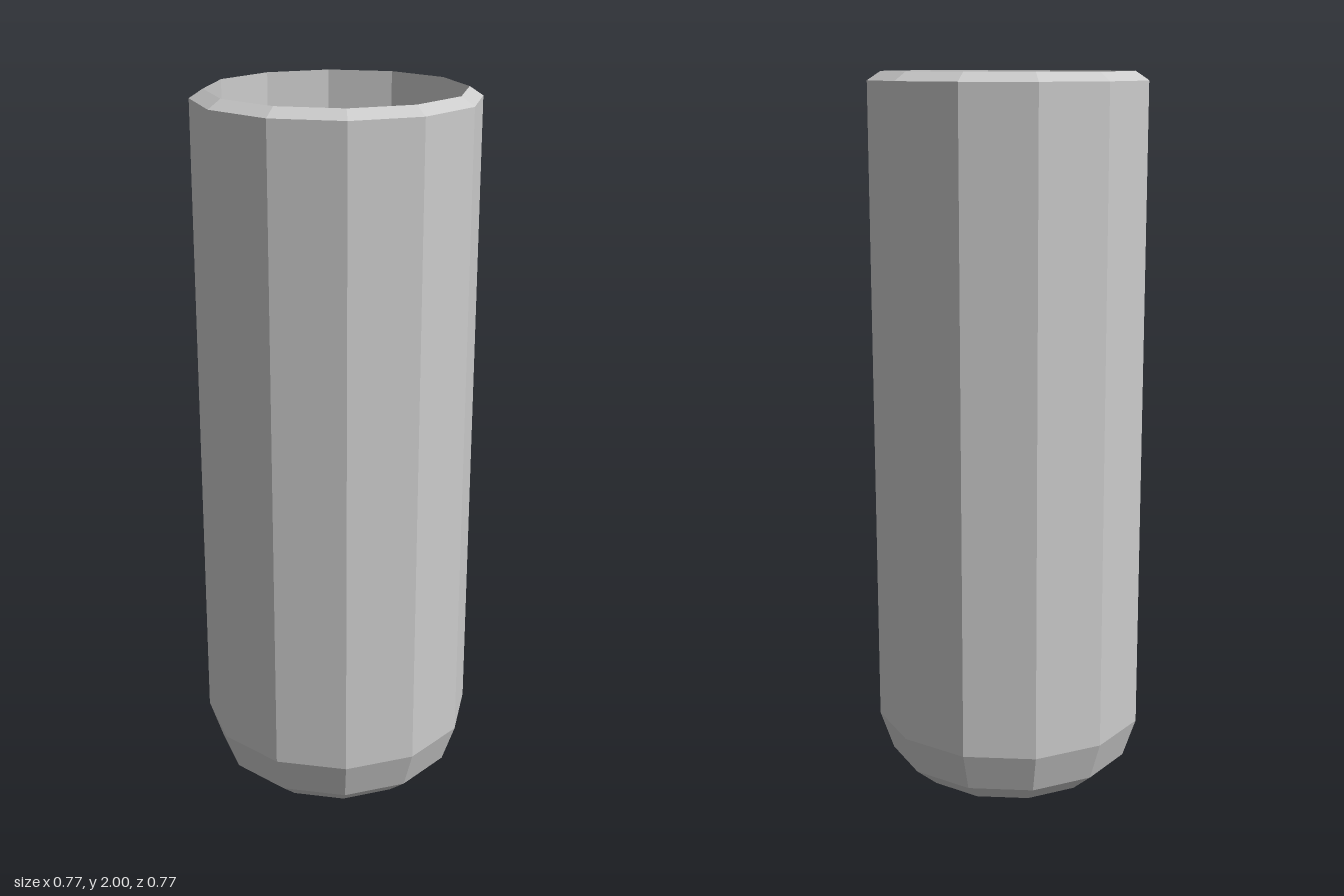
import * as THREE from 'three';

const SIDES = 12;

function turned(name, profile, material) {
  const points = profile.map(([r, y]) => new THREE.Vector2(r, y));
  const mesh = new THREE.Mesh(new THREE.LatheGeometry(points, SIDES), material);
  mesh.name = name;
  return mesh;
}

export function createModel() {
  const group = new THREE.Group();
  group.name = 'tumbler';
  const material = new THREE.MeshStandardMaterial({ color: 0xcccccc, flatShading: true });

  // Outer shell: flat base, two-step rounded foot, straight wall
  group.add(turned('outerWall', [[0, 0], [0.28, 0], [0.348, 0.058], [0.386, 0.17], [0.386, 1.976]], material));

  // Bevelled lip, sloping up towards the opening
  group.add(turned('rim', [[0.386, 1.976], [0.349, 2]], material));

  // Hollow: straight inner wall, tapered near the flat floor
  group.add(turned('innerWall', [[0.349, 2], [0.349, 0.17], [0.312, 0.06], [0, 0.06]], material));

  return group;
}
